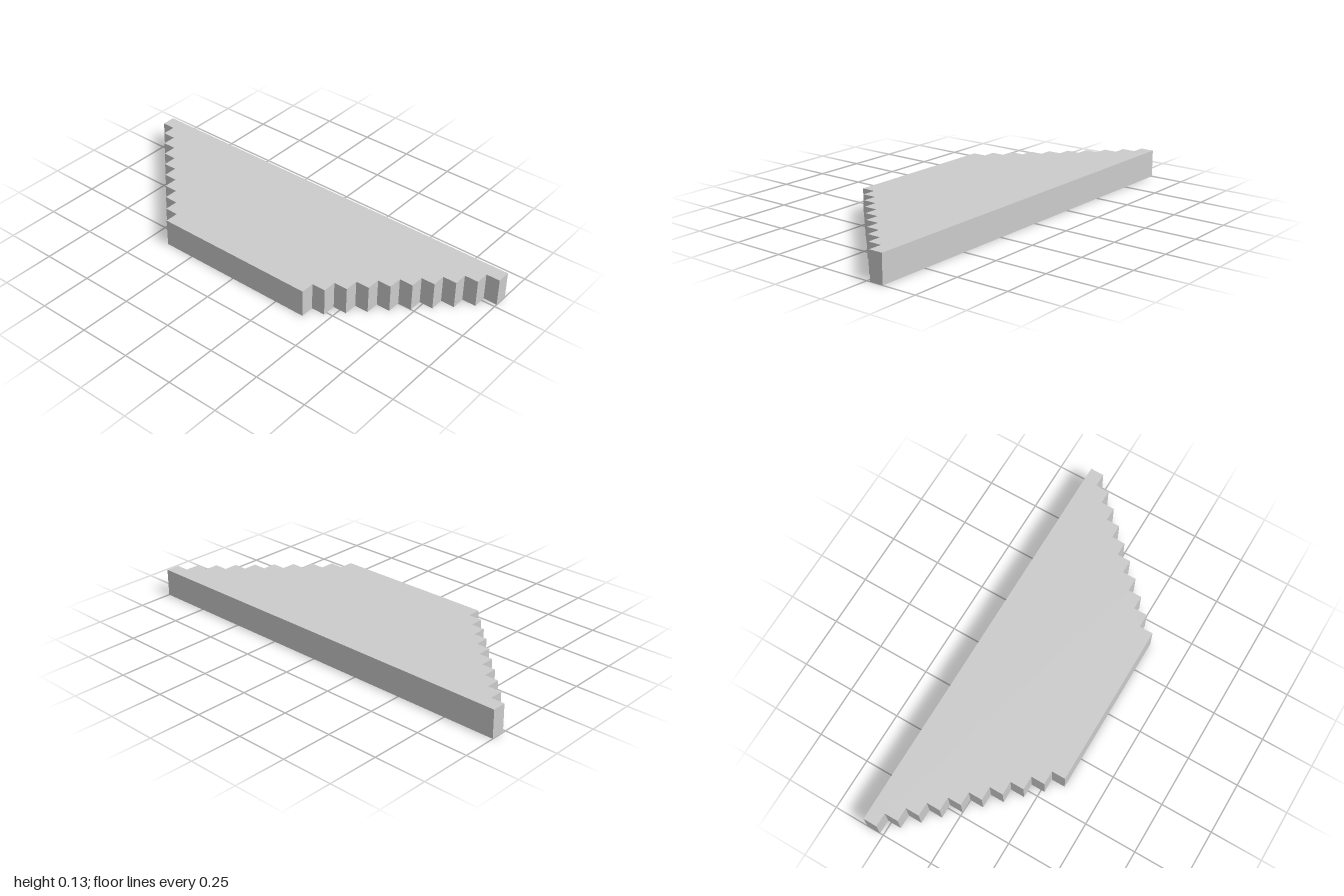
import * as THREE from 'three';

const STEP = 1 / 15; // depth and inset of each stair-step
const ROWS = 10;
const HEIGHT = 2 * STEP;

export function createModel() {
  const group = new THREE.Group();
  group.name = 'steppedSlab';

  // Right-hand staircase edge, from the wide back row to the narrow front row
  const edge = [];
  for (let i = 0; i < ROWS; i++) {
    const halfWidth = 1 - i * STEP;
    const back = (ROWS / 2 - i) * STEP; // shape y becomes -z
    edge.push(new THREE.Vector2(halfWidth, back), new THREE.Vector2(halfWidth, back - STEP));
  }
  const mirrored = edge.map((p) => new THREE.Vector2(-p.x, p.y)).reverse();

  // Plan outline extruded upward
  const geometry = new THREE.ExtrudeGeometry(new THREE.Shape([...edge, ...mirrored]), {
    depth: HEIGHT,
    bevelEnabled: false,
  });
  geometry.rotateX(-Math.PI / 2);

  const slab = new THREE.Mesh(
    geometry,
    new THREE.MeshStandardMaterial({ color: 0xcccccc, flatShading: true })
  );
  slab.name = 'slab';
  group.add(slab);
  return group;
}
